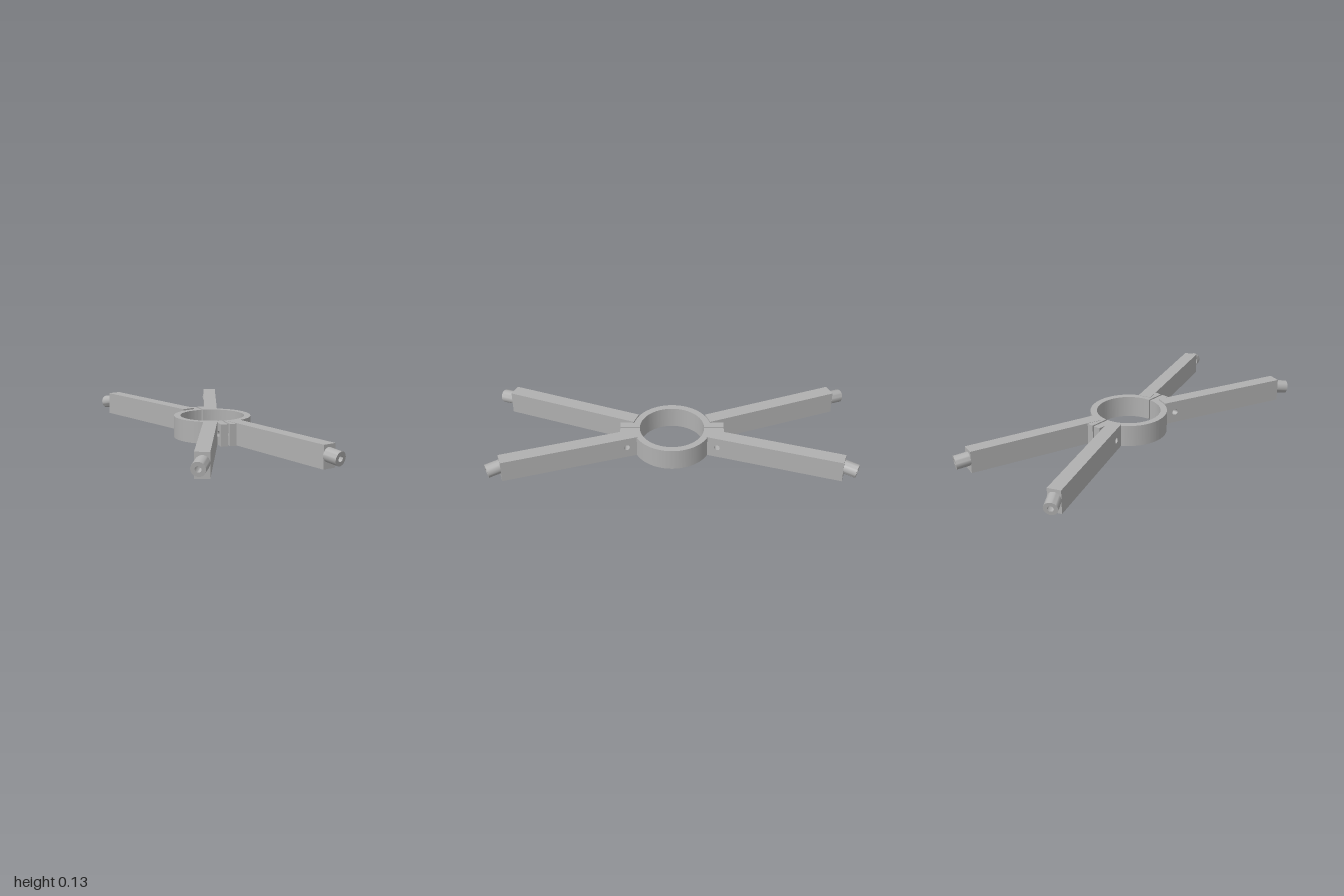
import * as THREE from 'three';
import { toCreasedNormals } from 'three/addons/utils/BufferGeometryUtils.js';

const HEIGHT = 0.12, MID = 0.063, BOLT_Z = 0.245;
const RING_X = 0.035, OUTER = 0.213, INNER = 0.177, HALF_GAP = 0.005;

// Slab from x0 to x1 spanning z0..z1 on side s (+1 front, -1 back), with a bolt hole along x
function drilledSlab(x0, x1, z0, z1, y0, y1, s) {
  const a = Math.min(s * z0, s * z1), b = Math.max(s * z0, s * z1);
  const shape = new THREE.Shape([
    new THREE.Vector2(a, y0), new THREE.Vector2(b, y0),
    new THREE.Vector2(b, y1), new THREE.Vector2(a, y1),
  ]);
  const hole = new THREE.Path();
  hole.absarc(s * BOLT_Z, MID, 0.016, 0, Math.PI * 2, true);
  shape.holes.push(hole);
  return new THREE.ExtrudeGeometry(shape, { depth: x1 - x0, bevelEnabled: false, curveSegments: 16 })
    .rotateY(-Math.PI / 2).translate(x1, 0, 0);
}

// Slanted arm: shear the slab outwards, with its ends square to the slant
function armGeometry(m, s, spec) {
  const { base, width, slope, top } = spec;
  const z0 = 0.185, z1 = 0.9;
  const geo = drilledSlab(0, width, z0, z1, 0.001, top, s);
  const p = geo.attributes.position;
  for (let i = 0; i < p.count; i++) {
    // t = 0 on the outer face, 1 on the face towards the middle
    const t = m > 0 ? 1 - p.getX(i) / width : p.getX(i) / width;
    let z = Math.abs(p.getZ(i));
    if (z < z0 + 1e-4 || z > z1 - 1e-4) z += t * width * slope * Math.cos(Math.atan(slope)) ** 2;
    p.setXYZ(i, m * (base - t * width + slope * (z - 0.19)), p.getY(i), s * z);
  }
  return toCreasedNormals(geo, 0.6);
}

// Hollow round peg pointing along +y
function pegGeometry(length) {
  const r = 0.037, bore = 0.016, floor = length * 0.35;
  const pts = [[0, 0], [r, 0], [r, length], [bore, length], [bore, floor], [0, floor]];
  return toCreasedNormals(new THREE.LatheGeometry(pts.map(([x, y]) => new THREE.Vector2(x, y)), 32), 0.6);
}

// Half of the split ring on side m
function halfRingGeometry(m) {
  const ao = Math.acos(HALF_GAP / OUTER), ai = Math.acos(HALF_GAP / INNER);
  const turn = m > 0 ? 0 : Math.PI;
  const shape = new THREE.Shape();
  shape.absarc(0, 0, OUTER, turn - ao, turn + ao, false);
  shape.absarc(0, 0, INNER, turn + ai, turn - ai, true);
  const geo = new THREE.ExtrudeGeometry(shape, { depth: HEIGHT, bevelEnabled: false, curveSegments: 48 });
  return toCreasedNormals(geo.rotateX(-Math.PI / 2).translate(RING_X, 0, 0), 0.6);
}

export function createModel() {
  const model = new THREE.Group();
  model.name = 'clampBracket';
  const metal = new THREE.MeshStandardMaterial({ color: 0xb0b0b0 });
  metal.name = 'grey metal';
  const add = (name, geo) => {
    const mesh = new THREE.Mesh(geo, metal);
    mesh.name = name;
    model.add(mesh);
    return mesh;
  };

  // The two halves differ slightly in slant, height and peg angle
  const sides = [
    { m: 1, label: 'left', flange: [0.04, 0.077], arm: { base: 0.127, width: 0.078, slope: 0.32, top: 0.122 },
      peg: [[0.312, 0.071, 0.908], [0.345, 0.061, 0.978]] },
    { m: -1, label: 'right', flange: [-0.01, 0.03], arm: { base: 0.077, width: 0.08, slope: 0.389, top: 0.128 },
      peg: [[-0.313, 0.077, 0.905], [-0.357, 0.063, 0.975]] },
  ];

  for (const { m, label, flange, arm, peg } of sides) {
    add(label + 'HalfRing', halfRingGeometry(m));
    for (const s of [1, -1]) {
      const name = label + (s > 0 ? 'Front' : 'Back');
      add(name + 'Flange', toCreasedNormals(drilledSlab(flange[0], flange[1], 0.183, 0.284, 0, HEIGHT, s), 0.6));
      add(name + 'Arm', armGeometry(m, s, arm));

      // Peg at the arm tip
      const [from, to] = peg.map(([x, y, z]) => new THREE.Vector3(x, y, s * z));
      const dir = to.clone().sub(from);
      const mesh = add(name + 'Peg', pegGeometry(dir.length()));
      mesh.position.copy(from);
      mesh.quaternion.setFromUnitVectors(new THREE.Vector3(0, 1, 0), dir.normalize());
    }
  }
  model.position.z = -0.002;
  return model;
}
